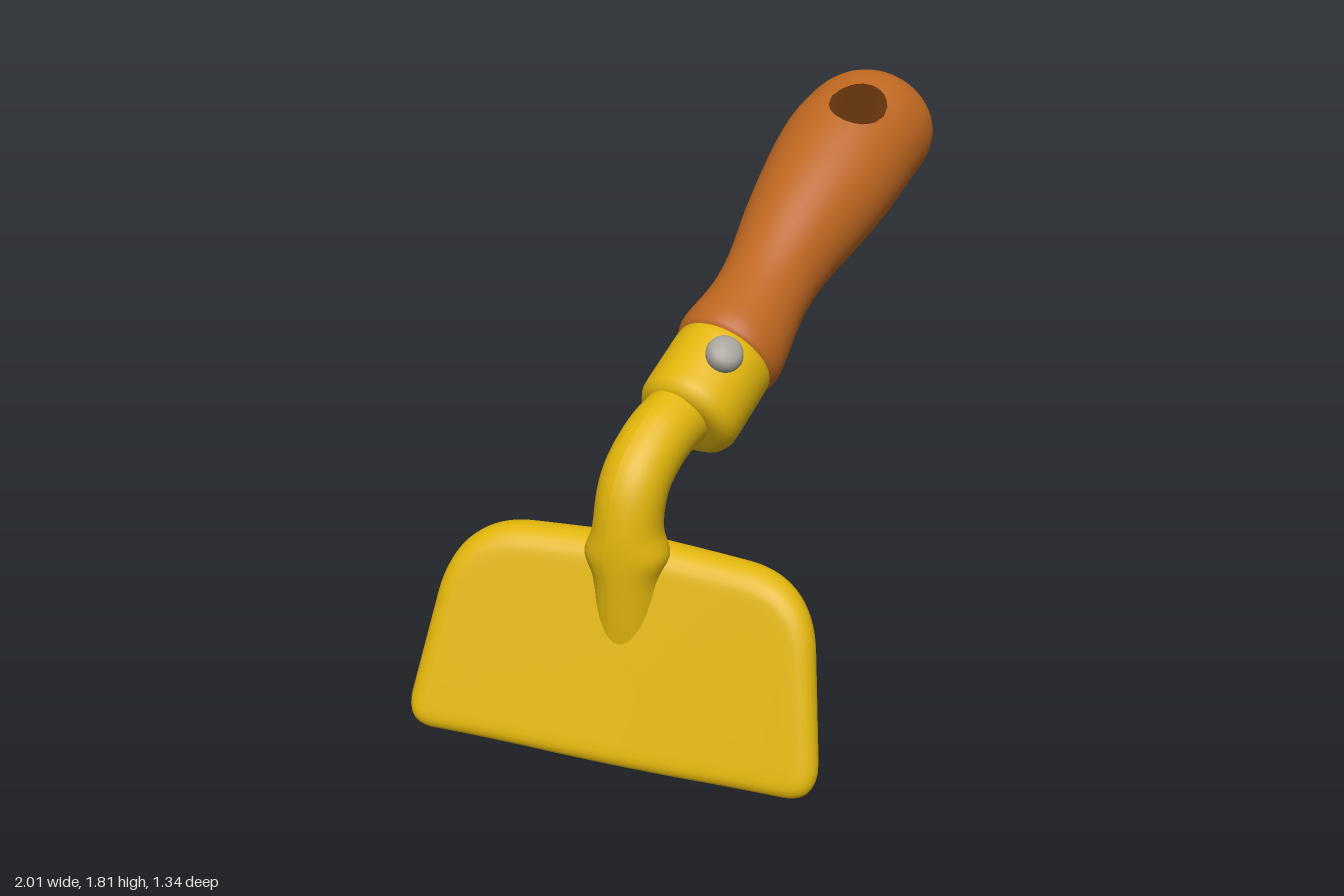
import * as THREE from 'three';

const V = (x, y, z) => new THREE.Vector3(x, y, z);
const { smoothstep, lerp, clamp } = THREE.MathUtils;
const mat = (name, color) => {
  const m = new THREE.MeshStandardMaterial({ color });
  m.name = name;
  return m;
};
const mesh = (name, geometry, material) => {
  const m = new THREE.Mesh(geometry, material);
  m.name = name;
  return m;
};
const lathe = (pts, segments) =>
  new THREE.LatheGeometry(pts.map(p => new THREE.Vector2(...p)), segments);
const surface = (pos, idx) => {
  const g = new THREE.BufferGeometry();
  g.setAttribute('position', new THREE.Float32BufferAttribute(pos, 3));
  g.setIndex(idx);
  g.computeVertexNormals();
  return g;
};

// Blade: depth of its mid plane at a given height (it leans back)
const lean = y => 0.55 - 0.31 * y;
const BLADE_TURN = -0.814;

function bladeOutline() {
  // corners: x, y, rounding
  const corners = [[-0.87, 0.075, 0.1], [-0.2, 0.005, 0.25], [0.39, 0, 0.11], [0.325, 0.595, 0.2],
    [-0.2, 0.655, 0.1], [-0.745, 0.67, 0.22]];
  const shape = new THREE.Shape();
  corners.forEach(([x, y, r], i) => {
    const toward = j => {
      const [ox, oy] = corners[(j + corners.length) % corners.length];
      const l = Math.hypot(ox - x, oy - y);
      return [x + (ox - x) * r / l, y + (oy - y) * r / l];
    };
    const a = toward(i - 1), b = toward(i + 1);
    if (i) shape.lineTo(...a); else shape.moveTo(...a);
    shape.quadraticCurveTo(x, y, ...b);
  });
  shape.closePath();
  return shape.getSpacedPoints(160).slice(0, 160);
}

// Blade as closed rings: front middle, round rim, back middle
function bladeGeometry() {
  const outline = bladeOutline(), N = outline.length, T = 0.056;
  const center = new THREE.Vector2(-0.23, 0.34);
  const inner = [0, 0.2, 0.4, 0.6, 0.8, 0.92];
  const rings = inner.map(k => ({ k, inset: T, z: T }));
  for (let i = 0; i <= 10; i++) {
    const a = Math.PI * (0.5 - i / 10);
    rings.push({ k: 1, inset: T * (1 - Math.cos(a)), z: T * Math.sin(a) });
  }
  inner.slice().reverse().forEach(k => rings.push({ k, inset: T, z: -T }));
  const pos = [], idx = [];
  rings.forEach(({ k, inset, z }, i) => {
    for (let j = 0; j < N; j++) {
      const t = outline[(j + 1) % N].clone().sub(outline[(j + N - 1) % N]).normalize();
      const p = outline[j].clone().add(new THREE.Vector2(-t.y, t.x).multiplyScalar(inset));
      p.sub(center).multiplyScalar(k).add(center);
      // ends curl slightly forward
      const curl = 0.033 * ((p.x + 0.2) / 0.6) ** 2;
      pos.push(p.x, p.y, z * (0.9 + 0.4 * p.y) + lean(p.y) + curl);
      const a = i * N + j, b = i * N + (j + 1) % N;
      if (i < rings.length - 1) idx.push(a, a + N, b, b, a + N, b + N);
    }
  });
  return surface(pos, idx);
}

// Bent rod that flares into the blade's top edge; its back melts into the leaning blade
function neckGeometry() {
  const path = new THREE.CatmullRomCurve3([
    V(-0.1, 1.0, -0.03), V(-0.2, 0.965, 0.01), V(-0.31, 0.92, 0.06), V(-0.405, 0.83, 0.105),
    V(-0.44, 0.7, 0.12), V(-0.44, 0.5, 0.117), V(-0.437, 0.32, 0.104)
  ]);
  const g = new THREE.TubeGeometry(path, 80, 0.1, 32);
  const n = V(-Math.sin(BLADE_TURN), 0, -Math.cos(BLADE_TURN));
  const u = V(Math.cos(BLADE_TURN), 0, -Math.sin(BLADE_TURN));
  const p = g.attributes.position, v = V();
  for (let i = 0; i < p.count; i++) {
    v.fromBufferAttribute(p, i);
    const across = v.dot(u) + 0.215;
    v.addScaledVector(u, across * 0.25 * Math.exp(-(((v.y - 0.63) / 0.05) ** 2)));
    const over = v.dot(n) + lean(v.y);
    if (v.y < 0.62 && over > 0) v.addScaledVector(n, -over);
    p.setXYZ(i, v.x, v.y, v.z);
  }
  g.computeVertexNormals();
  return g;
}

// Handle profile along its axis
const profile = new THREE.SplineCurve([
  [0.1, 0.14], [0.125, 0.163], [0.17, 0.168], [0.23, 0.16], [0.33, 0.148], [0.42, 0.147], [0.51, 0.155],
  [0.61, 0.171], [0.75, 0.194], [0.9, 0.213], [1.03, 0.22], [1.13, 0.216]
].map(p => new THREE.Vector2(...p))).getPoints(240);

function radiusAt(t) {
  if (t > 1.13) return 0.216 * Math.max(0, 1 - ((t - 1.13) / 0.205) ** 2.2) ** (1 / 2.2);
  const k = Math.max(1, profile.findIndex(p => p.x >= t));
  const a = profile[k - 1], b = profile[k];
  return a.y + (b.y - a.y) * (t - a.x) / (b.x - a.x);
}
function handlePoint(t, phi) {
  const r = radiusAt(t);
  const bow = -0.025 * smoothstep(t, 0.2, 0.65) * (1 - smoothstep(t, 1.0, 1.3));
  const flat = 1 - 0.06 * smoothstep(t, 0.5, 1.0);
  return V(r * Math.sin(phi) + bow, t, flat * r * Math.cos(phi));
}

const SIDES = 44, HOLE_T = 1.065, HOLE_W = 0.218, BLEND = 0.165;
const HOLE_R = HOLE_W * Math.sin(3 / SIDES * Math.PI * 2);
// the hole slants: its lower opening sits nearer the tip
const slant = phi => (Math.cos(phi) < 0 ? 0.045 : 0);

// Lofted grip; the grid is rounded around the hanging hole and left open there
function gripGeometry() {
  const rings = [0.1, 0.105, 0.115, 0.125, 0.145, 0.17, 0.2];
  for (let t = 0.24; t < 0.88; t += 0.04) rings.push(t);
  for (const k of [-1.8, -1.4, -1, -0.5, 0, 0.5, 1, 1.4, 1.8]) rings.push(HOLE_T + k * HOLE_R);
  const last = rings[rings.length - 1];
  for (let k = 1; k <= 12; k++) rings.push(last + (1.335 - last) * Math.sin(k / 12 * Math.PI / 2));
  const N = SIDES, pos = [], idx = [], size = [];
  for (const t of rings) {
    for (let j = 0; j < N; j++) {
      let phi = j / N * Math.PI * 2, tt = t;
      const q = HOLE_W * Math.sin(phi), p = t - HOLE_T;
      const m = Math.max(Math.abs(p), Math.abs(q));
      size.push(m);
      if (m > 1e-6 && m < BLEND) {
        const fade = clamp((m - HOLE_R) / (BLEND - HOLE_R), 0, 1);
        const s = lerp(m / Math.hypot(p, q), 1, fade);
        tt = HOLE_T + p * s + slant(phi) * (1 - fade);
        const side = Math.asin(q * s / HOLE_W);
        phi = Math.cos(phi) > 0 ? side : Math.PI - side;
      }
      pos.push(...handlePoint(tt, phi).toArray());
    }
  }
  for (let i = 0; i < rings.length - 1; i++) {
    for (let j = 0; j < N; j++) {
      const a = i * N + j, b = i * N + (j + 1) % N, c = a + N, d = b + N;
      if ([a, b, c, d].every(k => size[k] < HOLE_R + 1e-4)) continue;
      idx.push(a, b, c, b, d, c);
    }
  }
  return surface(pos, idx);
}

// Wall of the hanging hole, from the upper opening to the lower one, facing inward
function holeGeometry() {
  const N = 40, M = 6, pos = [], idx = [];
  for (let i = 0; i <= M; i++) {
    for (let j = 0; j < N; j++) {
      const a = j / N * Math.PI * 2;
      const t = HOLE_T + HOLE_R * Math.cos(a), side = Math.asin(HOLE_R * Math.sin(a) / HOLE_W);
      const low = Math.PI - side;
      pos.push(...handlePoint(t, side).lerp(handlePoint(t + slant(low), low), i / M).toArray());
      const k = i * N + j, l = i * N + (j + 1) % N;
      if (i < M) idx.push(k, k + N, l, l, k + N, l + N);
    }
  }
  return surface(pos, idx);
}

export function createModel() {
  const yellow = mat('yellow paint', 0xe0b40b);
  const wood = mat('orange brown wood', 0xbc6620);
  const steel = mat('grey steel', 0xa5a299);
  const model = new THREE.Group();
  model.name = 'handHoe';

  const blade = mesh('blade', bladeGeometry(), yellow);
  blade.rotation.y = BLADE_TURN;
  model.add(blade, mesh('neck', neckGeometry(), yellow));

  // Handle frame: y runs along the handle, z roughly along the pin and hole
  const d = V(0.77, 0.52, -0.36).normalize();
  const h = V(-0.24, 0.77, 0.6);
  h.addScaledVector(d, -h.dot(d)).normalize();
  const handle = new THREE.Group();
  handle.name = 'handle';
  handle.quaternion.setFromRotationMatrix(new THREE.Matrix4().makeBasis(V().crossVectors(d, h), d, h));
  handle.position.set(-0.08, 1.01, -0.04);
  model.add(handle);

  const grip = new THREE.Group();
  grip.name = 'woodenGrip';
  grip.rotation.y = -0.1;
  grip.add(mesh('grip', gripGeometry(), wood), mesh('hangingHole', holeGeometry(), wood));
  handle.add(grip);
  handle.add(mesh('collar', lathe([[0, -0.15], [0.1, -0.15], [0.125, -0.146], [0.145, -0.132], [0.155, -0.11],
    [0.157, -0.08], [0.157, 0.09], [0.155, 0.112], [0.145, 0.122], [0.12, 0.125]], 48), yellow));

  // Rivet heads on both ends of the pin
  const pin = new THREE.Group();
  pin.name = 'pin';
  pin.rotation.y = 0.16;
  handle.add(pin);
  for (const s of [1, -1]) {
    const rivet = mesh('rivet', lathe([[0.045, 0.1], [0.045, 0.155], [0.054, 0.167], [0.056, 0.18], [0.052, 0.198],
      [0.04, 0.21], [0.02, 0.215], [0, 0.216]], 28), steel);
    rivet.rotation.x = s * Math.PI / 2;
    rivet.position.y = 0.008 + 0.014 * s;
    pin.add(rivet);
  }
  return model;
}
